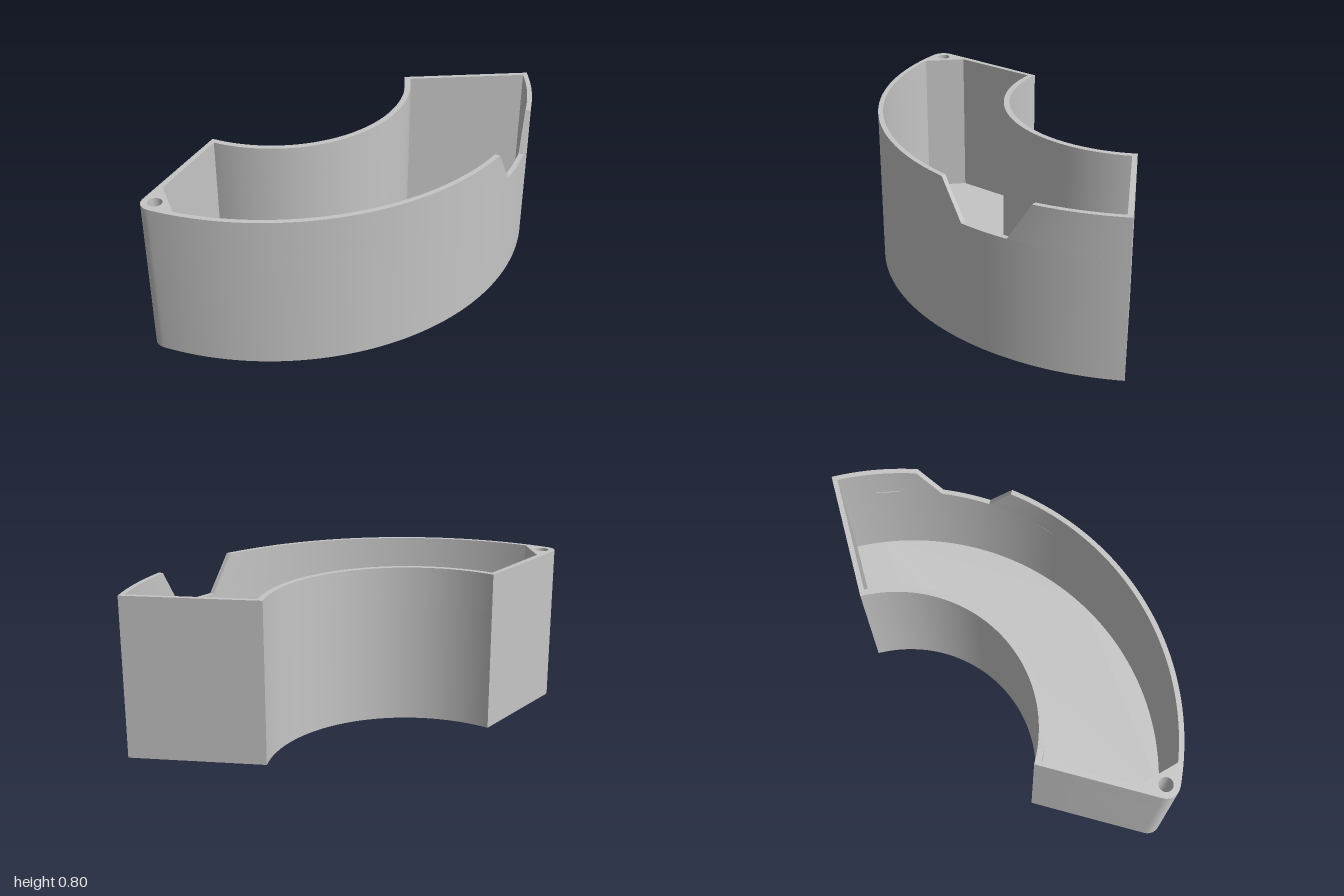
import * as THREE from 'three';
import { toCreasedNormals } from 'three/addons/utils/BufferGeometryUtils.js';

// Shared centre of the arcs (x, z) and main dimensions
const CX = -0.348, CZ = -0.674;
const R_OUT = 1.348, R_IN = 0.678, CAV_OUT = 1.323, CAV_IN = 0.708;
const HEIGHT = 0.8, FLOOR = 0.025, NOTCH_Y = 0.608;
const NOTCH_MID = 28.85, NOTCH_TOP = 0.244, NOTCH_BOTTOM = 0.125;
const PIN = [-0.933, 0.466], PIN_R = 0.035, CORNER_R = 0.066;

const rad = THREE.MathUtils.degToRad;
const deg = THREE.MathUtils.radToDeg;

// Plan point: shape y is -z, so extrusions turn upright with rotateX(-90 degrees)
const plan = (x, z) => new THREE.Vector2(x, -z);

function arc(r, from, to, n, cx = CX, cz = CZ) {
  const pts = [];
  for (let i = 0; i <= n; i++) {
    const a = rad(from + (to - from) * i / n);
    pts.push(plan(cx + r * Math.cos(a), cz + r * Math.sin(a)));
  }
  return pts;
}

// Outer boundary after the outer arc: rounded pin corner, then the inner arc
const outerRest = () => [
  ...arc(CORNER_R, 117.2, 210, 10, ...PIN),
  ...arc(R_IN, 120, 0, 72),
];

// Cavity boundary up to its outer arc: inner arc, then the pin corner web
const cavityStart = () => [
  ...arc(CAV_IN, 2.02, 117.98, 72),
  plan(-0.905, 0.345),
];

// Holes run opposite to the outlines
const pinHole = () => new THREE.Path(arc(PIN_R, 360, 15, 23, ...PIN));

function extrude(shape, y0, y1) {
  const g = new THREE.ExtrudeGeometry(shape, { depth: y1 - y0, bevelEnabled: false, steps: 1 });
  g.rotateX(-Math.PI / 2);
  g.translate(0, y0, 0);
  return g;
}

// Half angle of the notch at a given radius
const halfAngle = (s, r) => deg(Math.asin(s / r));

// Slopes the notch sides by closing the gap at the lower edge of the upper wall
function slopeNotch(g) {
  const p = g.attributes.position, limit = 27;
  for (let i = 0; i < p.count; i++) {
    const dx = p.getX(i) - CX, dz = p.getZ(i) - CZ, r = Math.hypot(dx, dz);
    const d = deg(Math.atan2(dz, dx)) - NOTCH_MID;
    if (p.getY(i) > NOTCH_Y + 0.01 || r < 1.3 || Math.abs(d) > limit) continue;
    const a = halfAngle(NOTCH_TOP, r), b = halfAngle(NOTCH_BOTTOM, r);
    const moved = b + (Math.abs(d) - a) * (limit - b) / (limit - a);
    const t = rad(NOTCH_MID + Math.sign(d) * moved);
    p.setX(i, CX + r * Math.cos(t));
    p.setZ(i, CZ + r * Math.sin(t));
  }
  return g;
}

export function createModel() {
  const model = new THREE.Group();
  model.name = 'curvedTray';
  const grey = new THREE.MeshStandardMaterial({ color: 0xc5c5c5 });
  grey.name = 'grey';

  const add = (name, geometry) => {
    const mesh = new THREE.Mesh(toCreasedNormals(geometry, 0.4), grey);
    mesh.name = name;
    model.add(mesh);
  };

  const outline = () => {
    const shape = new THREE.Shape([...arc(R_OUT, 0, 117.2, 144), ...outerRest()]);
    shape.holes.push(pinHole());
    return shape;
  };

  // Floor with the pin hole
  add('floor', extrude(outline(), 0, FLOOR));

  // Closed wall up to the bottom of the notch
  const wall = outline();
  wall.holes.push(new THREE.Path([...cavityStart(), ...arc(CAV_OUT, 112.24, 1.08, 144)]));
  add('lowerWall', extrude(wall, FLOOR, NOTCH_Y));

  // Upper wall, open at the notch
  const ho = halfAngle(NOTCH_TOP, R_OUT), hi = halfAngle(NOTCH_TOP, CAV_OUT);
  const upper = new THREE.Shape([
    ...arc(R_OUT, NOTCH_MID + ho, 117.2, 96),
    ...outerRest(),
    ...arc(R_OUT, 0, NOTCH_MID - ho, 24),
    ...arc(CAV_OUT, NOTCH_MID - hi, 1.08, 24),
    ...cavityStart(),
    ...arc(CAV_OUT, 112.24, NOTCH_MID + hi, 96),
  ]);
  upper.holes.push(pinHole());
  add('upperWall', slopeNotch(extrude(upper, NOTCH_Y, HEIGHT)));

  return model;
}
